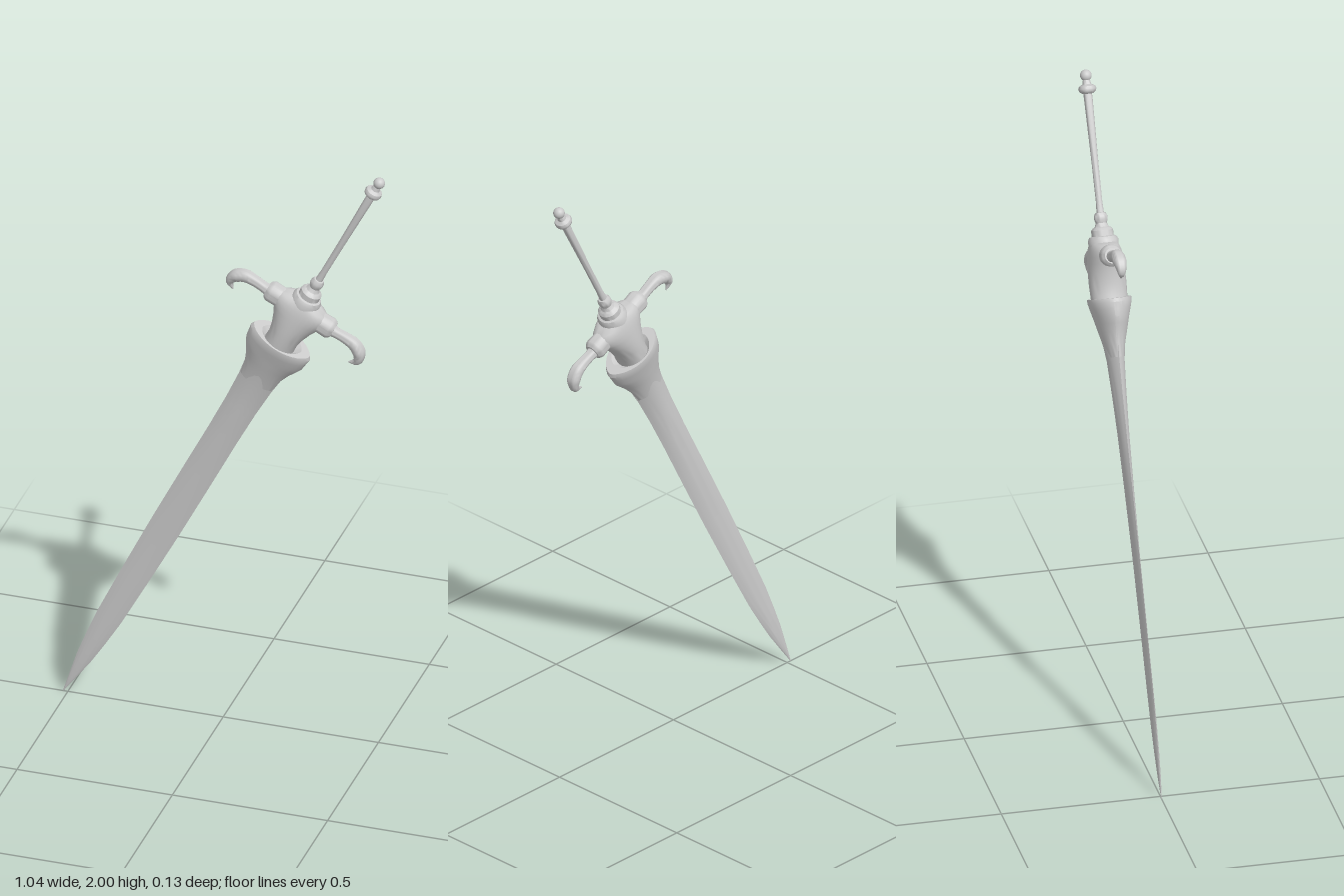
import * as THREE from 'three';
import { toCreasedNormals } from 'three/addons/utils/BufferGeometryUtils.js';

const material = new THREE.MeshStandardMaterial({ color: 0xcccccc });

function part(name, geometry, parent) {
  const mesh = new THREE.Mesh(geometry, material);
  mesh.name = name;
  parent.add(mesh);
  return mesh;
}

// Closed skin through sections [height, halfWidth, halfDepth];
// depthPower 1 is an ellipse, 2 a sharp-edged lens.
function loft(sections, depthPower, crease, n = 32) {
  const pos = [], index = [];
  for (const [y, w, d] of sections) {
    for (let j = 0; j < n; j++) {
      const a = (j / n) * Math.PI * 2, s = Math.sin(a);
      pos.push(w * Math.cos(a), y, d * Math.sign(s) * Math.abs(s) ** depthPower);
    }
  }
  const rows = sections.length, bottom = rows * n, top = bottom + 1;
  pos.push(0, sections[0][0], 0, 0, sections[rows - 1][0], 0);
  for (let j = 0; j < n; j++) {
    const k = (j + 1) % n;
    for (let i = 0; i < rows - 1; i++) {
      const a = i * n + j, b = i * n + k;
      index.push(a, a + n, b + n, a, b + n, b);
    }
    index.push(bottom, j, k, top, (rows - 1) * n + k, (rows - 1) * n + j);
  }
  const g = new THREE.BufferGeometry();
  g.setAttribute('position', new THREE.Float32BufferAttribute(pos, 3));
  g.setIndex(index);
  return toCreasedNormals(g, crease);
}

function lathe(points, crease = 0.7) {
  const profile = points.map(([r, y]) => new THREE.Vector2(r, y));
  return toCreasedNormals(new THREE.LatheGeometry(profile, 24), crease);
}

// Tube along a curve whose radius follows a list of evenly spaced values
function taperedTube(points, radii) {
  const curve = new THREE.CatmullRomCurve3(points.map(([x, y]) => new THREE.Vector3(x, y, 0)));
  const rows = 32, sides = 16;
  const g = new THREE.TubeGeometry(curve, rows, 1, sides, false);
  const p = g.attributes.position, v = new THREE.Vector3();
  for (let i = 0; i <= rows; i++) {
    const c = curve.getPointAt(i / rows);
    const f = (i / rows) * (radii.length - 1), k = Math.min(Math.floor(f), radii.length - 2);
    const r = THREE.MathUtils.lerp(radii[k], radii[k + 1], f - k);
    for (let j = 0; j <= sides; j++) {
      const id = i * (sides + 1) + j;
      v.fromBufferAttribute(p, id).sub(c).multiplyScalar(r).add(c);
      p.setXYZ(id, v.x, v.y, v.z);
    }
  }
  return toCreasedNormals(g, 0.9);
}

export function createModel() {
  const model = new THREE.Group();
  model.name = 'sword';
  // Built upright from the tip, then leaned over
  const sword = new THREE.Group();
  sword.name = 'leaningSword';
  sword.rotation.z = -0.4747;
  sword.position.set(-0.515, 0, 0);
  model.add(sword);

  // Long lens-section blade, thickening towards the collar
  part('blade', loft([
    [0, 0.001, 0.001], [0.07, 0.013, 0.005], [0.15, 0.026, 0.007], [0.23, 0.034, 0.008],
    [0.32, 0.041, 0.008], [0.5, 0.046, 0.008], [0.72, 0.05, 0.009], [0.95, 0.051, 0.013],
    [1.12, 0.051, 0.017], [1.25, 0.053, 0.022], [1.35, 0.058, 0.027], [1.42, 0.066, 0.037],
  ], 2, 0.5), sword);

  // Flared collar gripping the blade
  part('bladeCollar', loft([
    [1.36, 0.057, 0.026], [1.405, 0.064, 0.035], [1.44, 0.077, 0.044], [1.465, 0.09, 0.05],
    [1.485, 0.1, 0.055], [1.51, 0.103, 0.062], [1.53, 0.106, 0.067], [1.541, 0.1, 0.067],
    [1.541, 0.07, 0.06], [1.525, 0.05, 0.045],
  ], 1.3, 0.6), sword);

  // Waisted hilt body with a rounded shoulder
  part('hiltBody', loft([
    [1.5, 0.052, 0.055], [1.55, 0.049, 0.057], [1.585, 0.056, 0.058], [1.62, 0.068, 0.057],
    [1.65, 0.083, 0.055], [1.67, 0.094, 0.053], [1.688, 0.094, 0.05], [1.702, 0.078, 0.046],
    [1.712, 0.05, 0.042],
  ], 1, 0.7), sword);

  // Hooked guard arms, each rising from a ring at the shoulder
  for (const side of [-1, 1]) {
    const name = side > 0 ? 'left' : 'right';
    const arm = new THREE.Group();
    arm.name = name + 'Guard';
    if (side < 0) arm.rotation.y = Math.PI;
    sword.add(arm);
    part(name + 'GuardArm', taperedTube(
      [[0.07, 1.673], [0.12, 1.67], [0.165, 1.672], [0.2, 1.668], [0.225, 1.648], [0.23, 1.622], [0.208, 1.602]],
      [0.026, 0.022, 0.017, 0.018, 0.021, 0.021, 0.014, 0.001]), arm);
    const ring = part(name + 'GuardRing', lathe(
      [[0, -0.03], [0.033, -0.03], [0.034, 0.006], [0.03, 0.014], [0.024, 0.02], [0, 0.02]]), arm);
    ring.position.set(0.1, 1.672, 0);
    ring.rotation.z = -Math.PI / 2;
  }

  // Stepped rings between body and grip
  part('gripBase', lathe([
    [0, 1.69], [0.046, 1.69], [0.047, 1.72], [0.041, 1.73], [0.034, 1.732], [0.034, 1.75],
    [0.028, 1.757], [0.022, 1.76], [0.017, 1.772], [0.021, 1.783], [0.021, 1.793],
    [0.016, 1.803], [0, 1.805],
  ]), sword);

  // Slender grip, slightly wider at the pommel end
  part('grip', lathe([
    [0, 1.79], [0.012, 1.79], [0.01, 1.84], [0.0105, 1.95], [0.012, 2.06], [0.0135, 2.16],
    [0.011, 2.19], [0, 2.19],
  ]), sword);

  // Disc and ball at the end
  part('pommelDisc', lathe([
    [0, 2.168], [0.017, 2.17], [0.026, 2.177], [0.028, 2.185], [0.025, 2.193], [0.014, 2.199],
    [0.011, 2.212], [0, 2.212],
  ]), sword);
  part('pommelBall', new THREE.SphereGeometry(0.018, 24, 16), sword).position.y = 2.226;

  return model;
}
